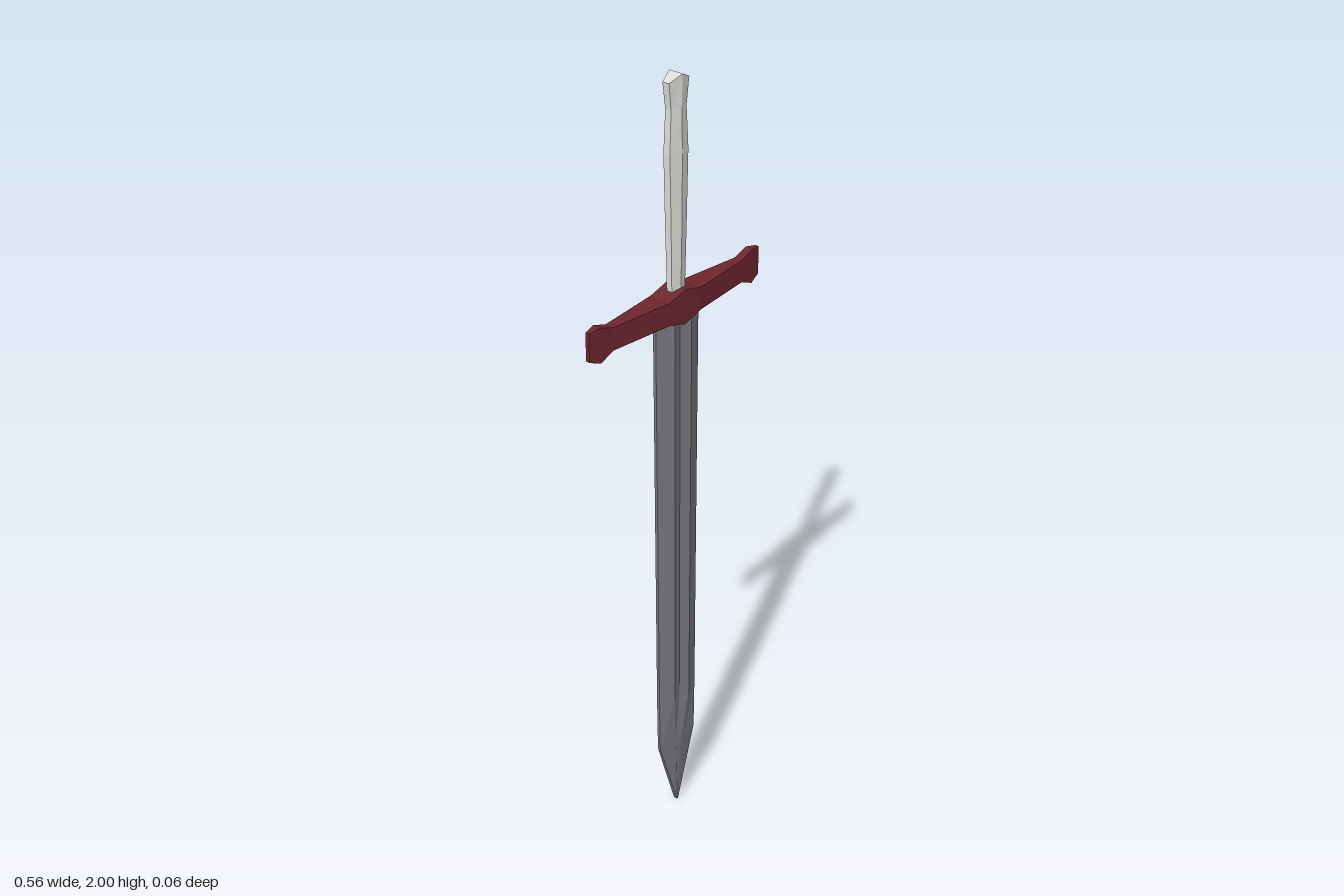
import * as THREE from 'three';

// Skins a list of rings (equal point counts, counter-clockwise along the axis) and caps both ends.
function loft(name, rings, color) {
  const pos = [];
  const tri = (a, b, c) => pos.push(...a, ...b, ...c);
  const n = rings[0].length;
  for (let i = 0; i < rings.length - 1; i++) {
    for (let j = 0; j < n; j++) {
      const k = (j + 1) % n;
      const [a, b, c, d] = [rings[i][j], rings[i][k], rings[i + 1][k], rings[i + 1][j]];
      tri(a, b, c);
      tri(a, c, d);
    }
  }
  const first = rings[0], last = rings[rings.length - 1];
  for (let j = 1; j < n - 1; j++) {
    tri(first[0], first[j + 1], first[j]);
    tri(last[0], last[j], last[j + 1]);
  }
  const geo = new THREE.BufferGeometry();
  geo.setAttribute('position', new THREE.Float32BufferAttribute(pos, 3));
  geo.computeVertexNormals();
  const mesh = new THREE.Mesh(geo, new THREE.MeshStandardMaterial({ color, flatShading: true }));
  mesh.name = name;
  return mesh;
}

export function createModel() {
  const sword = new THREE.Group();
  sword.name = 'sword';

  // Blade: y, half width, edge thickness, fuller half width, shoulder z, centre z
  const bladeRings = [
    [0, 0.002, 0.005, 0.001, 0.006, 0.006],
    [0.215, 0.065, 0.004, 0.016, 0.013, 0.015],
    [0.37, 0.067, 0.004, 0.027, 0.02, 0.012],
    [1.47, 0.071, 0.004, 0.028, 0.022, 0.012],
  ].map(([y, w, e, f, s, c]) => [
    [0, y, c], [f, y, s], [w, y, e], [w, y, -e], [f, y, -s],
    [0, y, -c], [-f, y, -s], [-w, y, -e], [-w, y, e], [-f, y, s],
  ]);
  sword.add(loft('blade', bladeRings, 0x7a7880));

  // Crossguard: x, bottom, top, half depth; mirrored about the centre
  const half = [
    [0, 1.432, 1.517, 0.028],
    [0.05, 1.448, 1.503, 0.028],
    [0.212, 1.448, 1.503, 0.011],
    [0.25, 1.432, 1.517, 0.01],
    [0.279, 1.444, 1.512, 0.005],
  ];
  const stations = [...half.slice(1).reverse().map(([x, ...r]) => [-x, ...r]), ...half];
  const guardRings = stations.map(([x, b, t, z]) => [[x, t, z], [x, b, z], [x, b, -z], [x, t, -z]]);
  sword.add(loft('crossguard', guardRings, 0x6e262e));

  // Grip: hexagonal, y at sides, y at ridge, half width, half depth
  const gripRings = [
    [1.48, 1.48, 0.021, 0.014],
    [1.66, 1.66, 0.025, 0.017],
    [1.83, 1.83, 0.029, 0.018],
    [1.925, 1.925, 0.024, 0.016],
    [1.985, 2, 0.031, 0.018],
  ].map(([y, r, w, d]) => [
    [0, r, d], [w, y, d / 2], [w, y, -d / 2],
    [0, r, -d], [-w, y, -d / 2], [-w, y, d / 2],
  ]);
  sword.add(loft('grip', gripRings, 0xdcdcd6));

  return sword;
}
